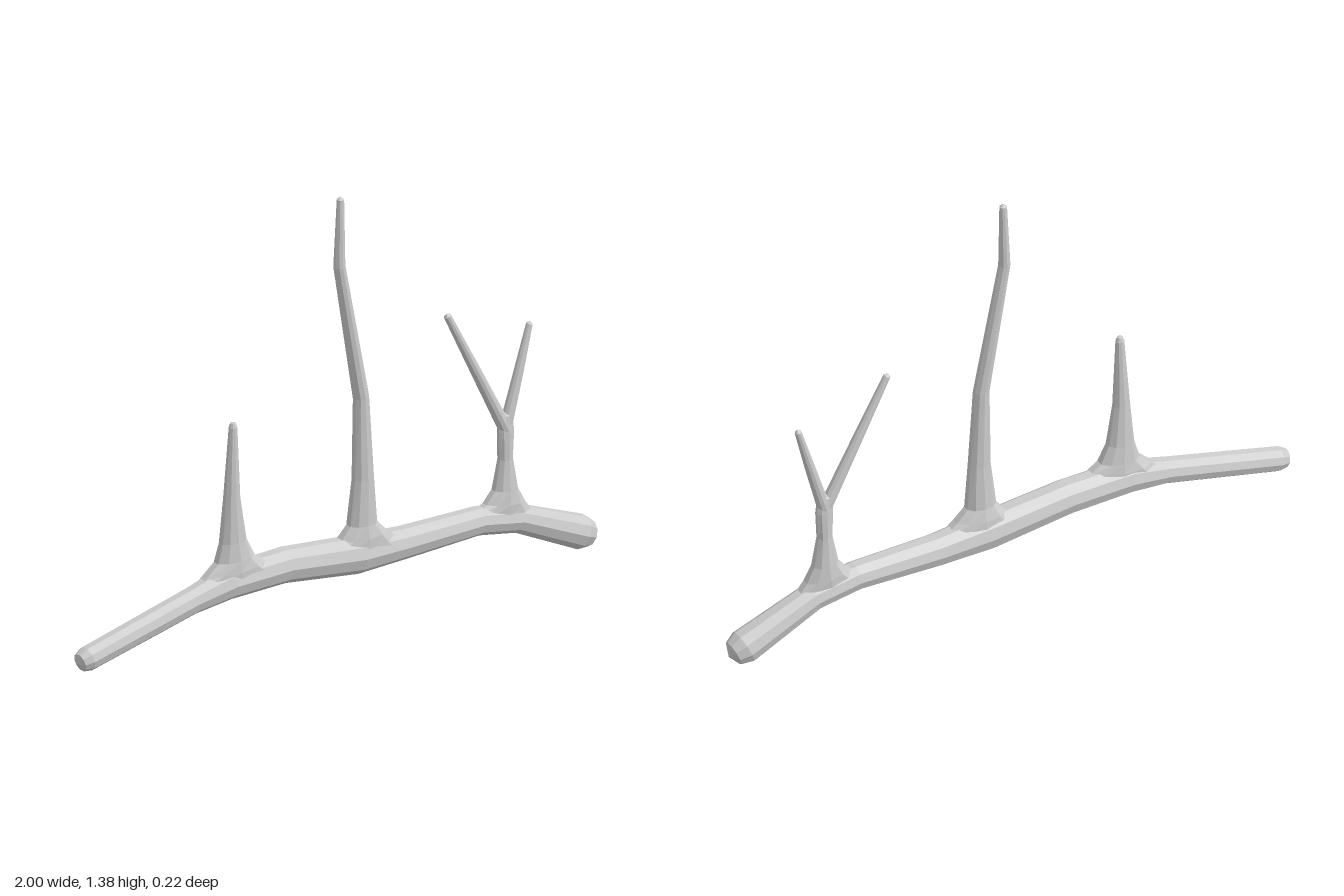
import * as THREE from 'three';

const SIDES = 10;
const material = new THREE.MeshStandardMaterial({ color: 0xcccccc, flatShading: true });

// Sweeps elliptical rings along a path. Each station: [x, y, z, radius in the xy plane, radius in depth].
function limb(name, stations) {
  const points = stations.map(([x, y, z]) => new THREE.Vector3(x, y, z));
  const last = points.length - 1;
  const rings = stations.map(([, , , ra, rb = ra], i) => {
    const t = points[Math.min(i + 1, last)].clone().sub(points[Math.max(i - 1, 0)]).normalize();
    const b = new THREE.Vector3(0, 0, 1).addScaledVector(t, -t.z).normalize();
    const a = b.clone().cross(t);
    return Array.from({ length: SIDES }, (_, j) => {
      const angle = ((j + 0.5) / SIDES) * Math.PI * 2;
      return points[i].clone()
        .addScaledVector(a, ra * Math.cos(angle))
        .addScaledVector(b, rb * Math.sin(angle));
    });
  });

  const corners = [];
  for (let i = 0; i < last; i++) {
    for (let j = 0; j < SIDES; j++) {
      const k = (j + 1) % SIDES;
      // a zero radius closes the limb to a point, so one triangle is enough there
      if (stations[i][3] > 0) corners.push(rings[i][j], rings[i][k], rings[i + 1][k]);
      if (stations[i + 1][3] > 0) corners.push(rings[i][j], rings[i + 1][k], rings[i + 1][j]);
    }
  }
  const geometry = new THREE.BufferGeometry().setFromPoints(corners);
  geometry.computeVertexNormals();
  const mesh = new THREE.Mesh(geometry, material);
  mesh.name = name;
  return mesh;
}

export function createModel() {
  const group = new THREE.Group();
  group.name = 'branch';

  // Main bough, sagging at both ends and rounded off
  group.add(limb('bough', [
    [-1.0, 0.09, 0.07, 0],
    [-0.988, 0.093, 0.07, 0.03],
    [-0.96, 0.1, 0.068, 0.04],
    [-0.56, 0.197, 0.045, 0.043],
    [-0.42, 0.225, 0.034, 0.055],
    [-0.2, 0.228, 0.015, 0.057],
    [0.08, 0.198, 0.0, 0.062, 0.06],
    [0.26, 0.192, -0.015, 0.053],
    [0.55, 0.196, -0.032, 0.046, 0.048],
    [0.7, 0.17, -0.04, 0.046],
    [0.945, 0.067, -0.055, 0.056],
    [0.98, 0.053, -0.057, 0.042],
    [0.998, 0.046, -0.058, 0],
  ]));

  // Short spike with a wide flared foot
  group.add(limb('shortTwig', [
    [-0.39, 0.215, 0.035, 0.2, 0.045],
    [-0.395, 0.265, 0.035, 0.115, 0.046],
    [-0.395, 0.3, 0.035, 0.07, 0.042],
    [-0.4, 0.36, 0.035, 0.046, 0.036],
    [-0.405, 0.5, 0.037, 0.028, 0.027],
    [-0.402, 0.735, 0.04, 0.014],
    [-0.402, 0.75, 0.04, 0.009],
    [-0.402, 0.752, 0.04, 0],
  ]));

  // Tall, kinked central twig
  group.add(limb('tallTwig', [
    [0.1, 0.2, 0.0, 0.17, 0.05],
    [0.1, 0.26, 0.003, 0.09, 0.046],
    [0.098, 0.3, 0.005, 0.052, 0.038],
    [0.1, 0.45, 0.008, 0.037, 0.031],
    [0.092, 0.72, 0.01, 0.026, 0.027],
    [0.012, 1.17, 0.01, 0.019, 0.021],
    [0.016, 1.39, 0.01, 0.012],
    [0.016, 1.4, 0.01, 0],
  ]));

  // Stem that divides into two tines
  group.add(limb('forkStem', [
    [0.645, 0.19, -0.036, 0.13, 0.038],
    [0.652, 0.235, -0.036, 0.075, 0.039],
    [0.655, 0.28, -0.036, 0.044, 0.035],
    [0.656, 0.38, -0.035, 0.025, 0.025],
    [0.656, 0.47, -0.033, 0.029, 0.022],
    [0.652, 0.525, -0.032, 0.026, 0.018],
    [0.652, 0.535, -0.032, 0],
  ]));
  group.add(limb('longTine', [
    [0.665, 0.455, -0.032, 0.02],
    [0.638, 0.51, -0.031, 0.021],
    [0.54, 0.698, -0.026, 0.017],
    [0.433, 0.903, -0.021, 0.012],
    [0.429, 0.911, -0.021, 0],
  ]));
  group.add(limb('shortTine', [
    [0.648, 0.455, -0.033, 0.02],
    [0.667, 0.52, -0.034, 0.02],
    [0.71, 0.665, -0.037, 0.016],
    [0.75, 0.803, -0.041, 0.011],
    [0.753, 0.812, -0.041, 0],
  ]));

  return group;
}
